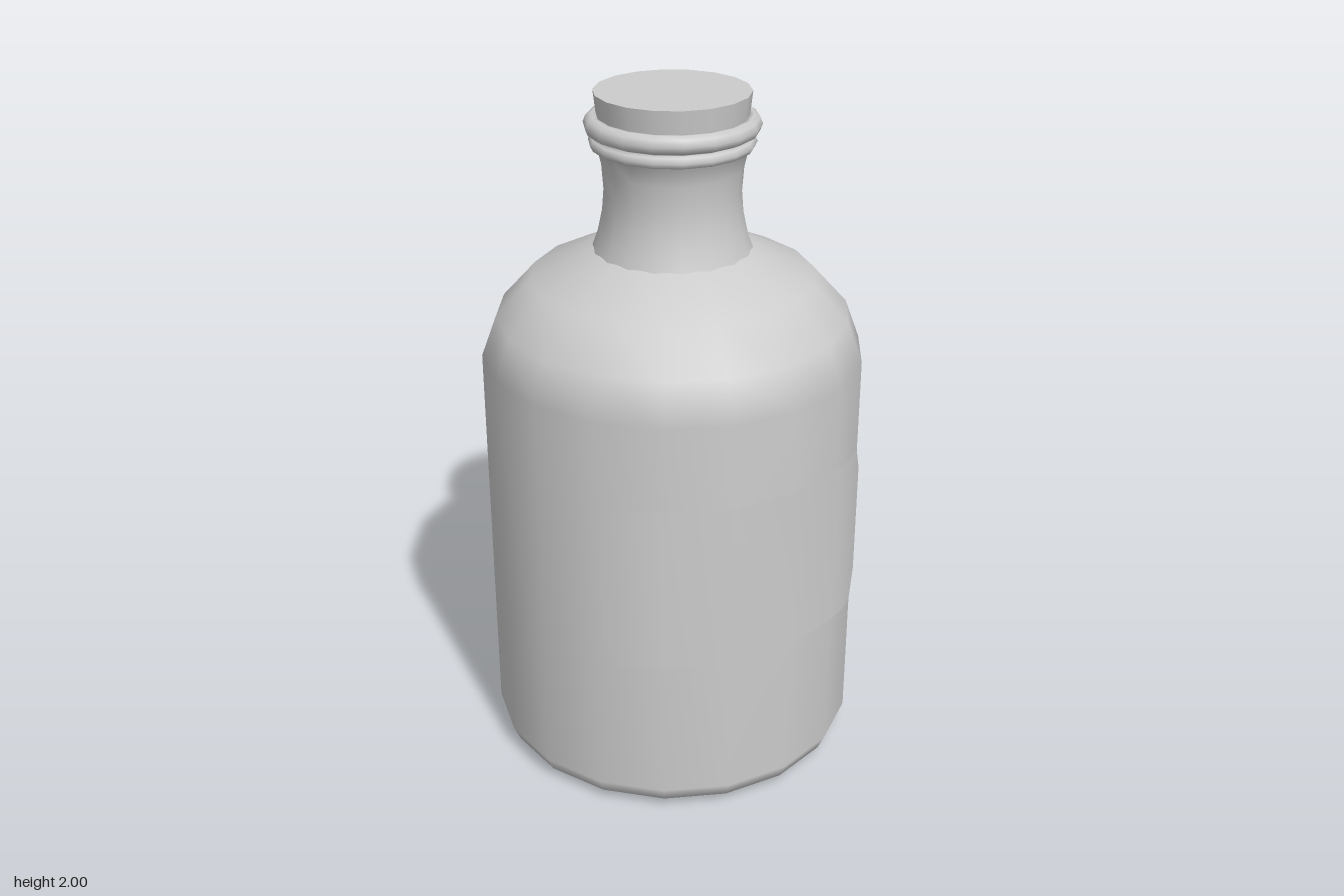
import * as THREE from 'three';

const SIDES = 18;
const RAD = Math.PI / 180;

export function createModel() {
  const bottle = new THREE.Group();
  bottle.name = 'corkedBottle';
  const material = new THREE.MeshStandardMaterial({ color: 0xcccccc });
  const thin = new THREE.MeshStandardMaterial({ color: 0xcccccc, side: THREE.DoubleSide });

  const add = (name, geometry, mat = material) => {
    const mesh = new THREE.Mesh(geometry, mat);
    mesh.name = name;
    mesh.position.z = -0.005;
    bottle.add(mesh);
  };
  const lathe = (profile, startDegrees) => new THREE.LatheGeometry(
    profile.map(([r, y]) => new THREE.Vector2(r, y)), SIDES, startDegrees * RAD);

  // Body with rounded base and faceted shoulder, a flat side facing front
  add('body', lathe([
    [0, 0], [0.46, 0], [0.49, 0.006], [0.528, 0.03], [0.548, 0.075],
    [0.548, 1.25], [0.505, 1.365], [0.405, 1.475], [0.225, 1.558], [0.2, 1.565],
  ], 10), thin);

  // Flared neck with a thin collar and a thicker lip
  add('neck', lathe([
    [0.228, 1.55], [0.21, 1.6], [0.197, 1.66], [0.192, 1.72], [0.197, 1.79], [0.21, 1.845],
    [0.225, 1.848], [0.232, 1.862], [0.225, 1.876], [0.212, 1.88],
    [0.222, 1.885], [0.238, 1.892], [0.245, 1.91], [0.238, 1.928], [0.222, 1.937],
    [0.204, 1.935], [0.197, 1.9], [0.195, 1.86],
  ], 0), thin);

  // Tapered stopper
  const cork = new THREE.CylinderGeometry(0.217, 0.2, 0.15, SIDES);
  cork.translate(0, 1.925, 0);
  add('cork', cork);

  // Wrapped label with clipped corners: columns of [angle, radius, half height]
  const half = [[10, 0.552, 0.25], [30, 0.552, 0.25], [37, 0.557, 0.25], [43.3, 0.558, 0.25], [48, 0.558, 0.17]];
  const columns = [...half.map(([a, r, h]) => [-a, r, h]).reverse(), ...half];
  const positions = [];
  const indices = [];
  columns.forEach(([a, r, h], i) => {
    const x = r * Math.sin(a * RAD), z = r * Math.cos(a * RAD);
    positions.push(x, 0.755 - h, z, x, 0.755 + h, z);
    if (i > 0) {
      const b = 2 * i;
      indices.push(b - 2, b, b - 1, b, b + 1, b - 1);
    }
  });
  const label = new THREE.BufferGeometry();
  label.setAttribute('position', new THREE.Float32BufferAttribute(positions, 3));
  label.setIndex(indices);
  label.computeVertexNormals();
  add('label', label, thin);

  return bottle;
}
